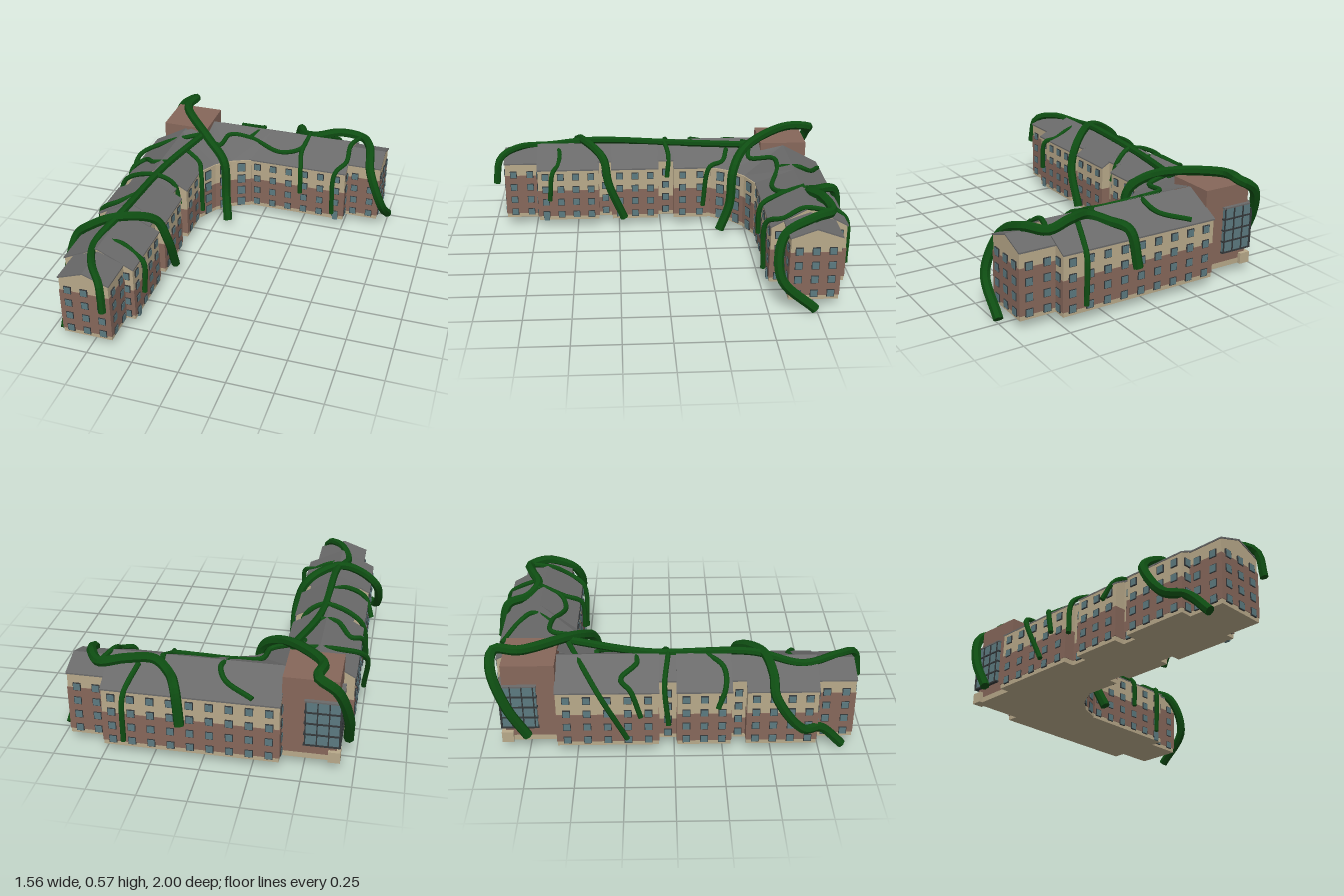
import * as THREE from 'three';
import { mergeGeometries } from 'three/addons/utils/BufferGeometryUtils.js';

const paint = (color, side = THREE.FrontSide) => new THREE.MeshStandardMaterial({ color, side });
const CREAM = paint(0xb8a98a), BRICK = paint(0x86675a), GLASS = paint(0x5c7a80), FRAME = paint(0x34383a);
const SLATE = paint(0x6a6a6a, THREE.DoubleSide), VINE = paint(0x0e4d12, THREE.DoubleSide);
VINE.flatShading = true;
const FLOOR = 0.06, EAVE = 0.38, RIDGE = 0.49, RIDGE_X = -0.525, RIDGE_Z = -0.735;

function add(parent, name, geometry, material) {
  const mesh = new THREE.Mesh(geometry, material);
  mesh.name = name;
  parent.add(mesh);
}

// Box given by its two extreme corners
function span(parent, name, material, [x0, x1], [y0, y1], [z0, z1]) {
  const geo = new THREE.BoxGeometry(x1 - x0, y1 - y0, z1 - z0);
  geo.translate((x0 + x1) / 2, (y0 + y1) / 2, (z0 + z1) / 2);
  add(parent, name, geo, material);
}

// Four storeys of framed windows on a wall running from a to b
function windows(parent, [ax, az], [bx, bz], columns, w = 0.034, h = 0.036) {
  const angle = Math.atan2(az - bz, bx - ax), panes = [], frames = [];
  for (let i = 0; i < columns; i++) {
    const t = (i + 0.5) / columns;
    for (let row = 0; row < 4; row++) {
      for (const [list, grow, depth] of [[frames, 0.006, 0.014], [panes, 0, 0.018]]) {
        const g = new THREE.BoxGeometry(w + grow, h + grow, depth).rotateY(angle);
        list.push(g.translate(ax + (bx - ax) * t, 0.097 + row * 0.08, az + (bz - az) * t));
      }
    }
  }
  add(parent, 'windowFrames', mergeGeometries(frames), FRAME);
  add(parent, 'windowPanes', mergeGeometries(panes), GLASS);
}

function extrude(points, z0, z1) {
  const shape = new THREE.Shape(points.map(p => new THREE.Vector2(...p)));
  return new THREE.ExtrudeGeometry(shape, { depth: z1 - z0, bevelEnabled: false }).translate(0, 0, z0);
}

// Gabled building block running along z
function block(wing, z0, z1, [left, right], { eave = EAVE, ridge = RIDGE, brick = 0.25, front = 0, back = 0 } = {}) {
  const g = new THREE.Group();
  g.name = 'block';
  wing.add(g);
  const x0 = left + 0.006, x1 = right - 0.006, mid = (x0 + x1) / 2, grow = 0.003, t = 0.004;
  add(g, 'walls', extrude([[x0, FLOOR], [x1, FLOOR], [x1, eave], [mid, ridge - t], [x0, eave]], z0, z1), CREAM);
  span(g, 'brickwork', BRICK, [x0 - grow, x1 + grow], [0.085, brick], [z0 - grow, z1 + grow]);
  add(g, 'roof', extrude([[left, eave - t], [mid, ridge - t], [right, eave - t],
    [right, eave + t], [mid, ridge + t], [left, eave + t]], z0 - t, z1 + t), SLATE);
  const n = Math.max(1, Math.round((z1 - z0) / 0.095));
  windows(g, [x1, z1], [x1, z0], n);
  windows(g, [x0, z0], [x0, z1], n);
  if (front) windows(g, [x0, z1], [x1, z1], front);
  if (back) windows(g, [x1, z0], [x0, z0], back);
}

// Curved inner corner where the wings meet
function innerCorner(parent) {
  const eaves = [[-0.33, -0.3], [-0.27, -0.41], [-0.19, -0.48], [-0.08, -0.53]];
  const ridge = [[RIDGE_X, -0.2], [RIDGE_X, -0.55], [-0.39, RIDGE_Z], [0, RIDGE_Z]];
  const prism = (edge, y0, y1) => extrude([...edge, [-0.08, -0.6], [-0.4, -0.6], [-0.4, -0.3]].map(([x, z]) => [x, -z]), y0, y1)
    .rotateX(-Math.PI / 2);
  add(parent, 'cornerWalls', prism(eaves, FLOOR, EAVE), CREAM);
  add(parent, 'cornerBrickwork', prism(eaves.map(([x, z]) => [x + 0.002, z + 0.003]), 0.085, 0.25), BRICK);
  const corners = [];
  const e = i => [eaves[i][0], EAVE + 0.005, eaves[i][1]], r = i => [ridge[i][0], RIDGE + 0.006, ridge[i][1]];
  for (let i = 0; i < 3; i++) {
    corners.push(e(i), e(i + 1), r(i + 1), e(i), r(i + 1), r(i));
    windows(parent, eaves[i], eaves[i + 1], 1, 0.042, 0.05);
  }
  const roof = new THREE.BufferGeometry();
  roof.setAttribute('position', new THREE.Float32BufferAttribute(corners.flat(), 3));
  roof.computeVertexNormals();
  add(parent, 'cornerRoof', roof, SLATE);
}

// Brick stair tower with a glazed outer corner
function tower(parent) {
  const g = new THREE.Group();
  g.name = 'tower';
  parent.add(g);
  span(g, 'towerBase', CREAM, [-0.66, -0.38], [FLOOR, 0.09], [-0.87, -0.58]);
  span(g, 'towerWalls', BRICK, [-0.66, -0.385], [0.09, 0.51], [-0.87, -0.6]);
  span(g, 'cornerPlinth', CREAM, [-0.68, -0.62], [FLOOR, 0.12], [-0.89, -0.83]);
  span(g, 'cornerGlass', GLASS, [-0.675, -0.5], [0.15, 0.4], [-0.885, -0.7]);
  for (let i = 0; i < 5; i++) {
    const y = 0.145 + i * 0.062;
    span(g, 'transom', i === 4 ? SLATE : FRAME, [-0.68, -0.495], [y, y + 0.008], [-0.89, -0.695]);
  }
  for (let i = 0; i < 4; i++) {
    const x = -0.68 + i * 0.058, z = -0.89 + i * 0.058;
    span(g, 'mullion', FRAME, [x, x + 0.006], [0.15, 0.4], [-0.89, -0.88]);
    span(g, 'mullion', FRAME, [-0.68, -0.67], [0.15, 0.4], [z, z + 0.006]);
  }
}

// Height at which a vine rests on the roofs, lower over the two end blocks
function roofHeight(x, z) {
  const overLong = RIDGE - 0.55 * Math.abs(x - RIDGE_X) - (z > 0.55 ? 0.02 : 0);
  const overRear = RIDGE - 0.55 * Math.abs(z - RIDGE_Z) - (x > 0.5 ? 0.02 : 0);
  return 0.012 + Math.max(0.36, overLong, overRear);
}

// Vine through plan points [x, z]; a third value sets the height where it leaves the roof
function vine(parent, name, radius, plan) {
  const curve = new THREE.CatmullRomCurve3(plan.map(([x, z, y = roofHeight(x, z)]) => new THREE.Vector3(x, y, z)));
  const parts = [new THREE.TubeGeometry(curve, plan.length * 7, radius, 7)];
  for (const t of [0, 1]) {
    const dir = curve.getTangent(t).multiplyScalar(t ? 1 : -1), p = curve.getPoint(t);
    const cap = new THREE.CircleGeometry(radius, 7);
    cap.applyQuaternion(new THREE.Quaternion().setFromUnitVectors(new THREE.Vector3(0, 0, 1), dir));
    parts.push(cap.translate(p.x, p.y, p.z));
  }
  add(parent, name, mergeGeometries(parts), VINE);
}

function vines(parent) {
  const g = new THREE.Group();
  g.name = 'vines';
  parent.add(g);

  // Thick stems
  vine(g, 'ridgeVine', 0.021, [[-0.4, 0.978, 0.28], [-0.42, 0.95, 0.43], [-0.5, 0.85], [-0.57, 0.66],
    [-0.52, 0.4], [-0.49, -0.13], [-0.39, -0.55, 0.5]]);
  vine(g, 'towerVine', 0.027, [[-0.71, -0.75, 0.12], [-0.71, -0.85, 0.3], [-0.65, -0.92, 0.49], [-0.56, -0.91, 0.55],
    [-0.57, -0.78, 0.55], [-0.34, -0.5, 0.5], [-0.22, -0.42, 0.41], [-0.2, -0.4, 0.2], [-0.17, -0.34, 0.05]]);
  vine(g, 'endVine', 0.026, [[0.1, -0.972, 0.24], [0.13, -0.93, 0.43], [0.18, -0.83], [0.27, -0.77], [0.4, -0.82, 0.5],
    [0.53, -0.84, 0.48], [0.6, -0.74], [0.64, -0.58, 0.4], [0.72, -0.56, 0.2], [0.745, -0.74, 0.03]]);
  vine(g, 'crossVine', 0.025, [[-0.3, 0.22, 0.08], [-0.305, 0.31, 0.3], [-0.36, 0.34, 0.44], [-0.53, 0.46],
    [-0.66, 0.5, 0.45], [-0.75, 0.51, 0.37], [-0.755, 0.65, 0.18], [-0.7, 0.75, 0.15], [-0.68, 0.87, 0.03]]);

  // Thin branches on the long wing
  const branch = (...plan) => vine(g, 'branch', 0.014, plan);
  branch([-0.57, 0.63], [-0.45, 0.6], [-0.37, 0.61], [-0.31, 0.64], [-0.305, 0.66, 0.2]);
  branch([-0.5, 0.15], [-0.6, 0.25], [-0.7, 0.26], [-0.745, 0.22, 0.3]);
  branch([-0.74, -0.03, 0.2], [-0.7, -0.05], [-0.5, -0.03], [-0.4, -0.05], [-0.365, -0.04, 0.31]);
  branch([-0.74, -0.17, 0.25], [-0.72, -0.22], [-0.66, -0.27], [-0.58, -0.19], [-0.49, -0.2]);
  branch([-0.745, -0.24, 0.12], [-0.75, -0.37], [-0.62, -0.45], [-0.4, -0.55, 0.5]);
  branch([-0.44, -0.4], [-0.36, -0.37], [-0.32, -0.29], [-0.3, -0.25, 0.15]);

  // Thin branches on the rear wing
  branch([-0.39, -0.53, 0.5], [-0.28, -0.52, 0.46], [-0.25, -0.65, 0.47], [-0.12, -0.66], [0.08, -0.6], [0.2, -0.64], [0.23, -0.77]);
  branch([-0.25, -0.92], [-0.1, -0.84], [-0.07, -0.77], [-0.13, -0.66]);
  branch([0.23, -0.75], [0.21, -0.62], [0.23, -0.52], [0.235, -0.508, 0.22]);
  branch([0.39, -0.965, 0.11], [0.385, -0.955, 0.36], [0.37, -0.9], [0.34, -0.8]);
  branch([0.53, -0.84, 0.48], [0.49, -0.7], [0.49, -0.6], [0.44, -0.52], [0.435, -0.51, 0.11]);
}

export function createModel() {
  const model = new THREE.Group();
  model.name = 'overgrownBuilding';

  // Long wing toward the front: wide bays separated by narrow recesses
  const longWing = new THREE.Group();
  longWing.name = 'longWing';
  const wide = [-0.72, -0.33], narrow = [-0.66, -0.38], recess = { eave: 0.41, ridge: 0.48, brick: 0.18 };
  block(longWing, 0.73, 0.925, narrow, { eave: 0.405, ridge: 0.455, brick: 0.33, front: 3 });
  block(longWing, 0.37, 0.73, wide, { ridge: 0.475, front: 5 });
  block(longWing, 0.29, 0.37, narrow, recess);
  block(longWing, 0.015, 0.29, wide);
  block(longWing, -0.08, 0.015, narrow, recess);
  block(longWing, -0.6, -0.08, wide);

  // Rear wing, the same blocks turned to run along x
  const rearWing = new THREE.Group();
  rearWing.name = 'rearWing';
  rearWing.rotation.y = Math.PI / 2;
  block(rearWing, -0.385, 0.5, [0.53, 0.94], { front: 5, back: 4 });
  block(rearWing, 0.5, 0.695, [0.6, 0.87], { eave: 0.41, ridge: 0.458, brick: 0.33, front: 3 });
  model.add(longWing, rearWing);
  innerCorner(model);
  tower(model);

  // Small doors
  span(model, 'door', GLASS, [0.44, 0.47], [FLOOR, 0.11], [-0.54, -0.524]);
  span(model, 'door', GLASS, [-0.342, -0.324], [FLOOR, 0.11], [0.67, 0.7]);

  vines(model);
  return model;
}
